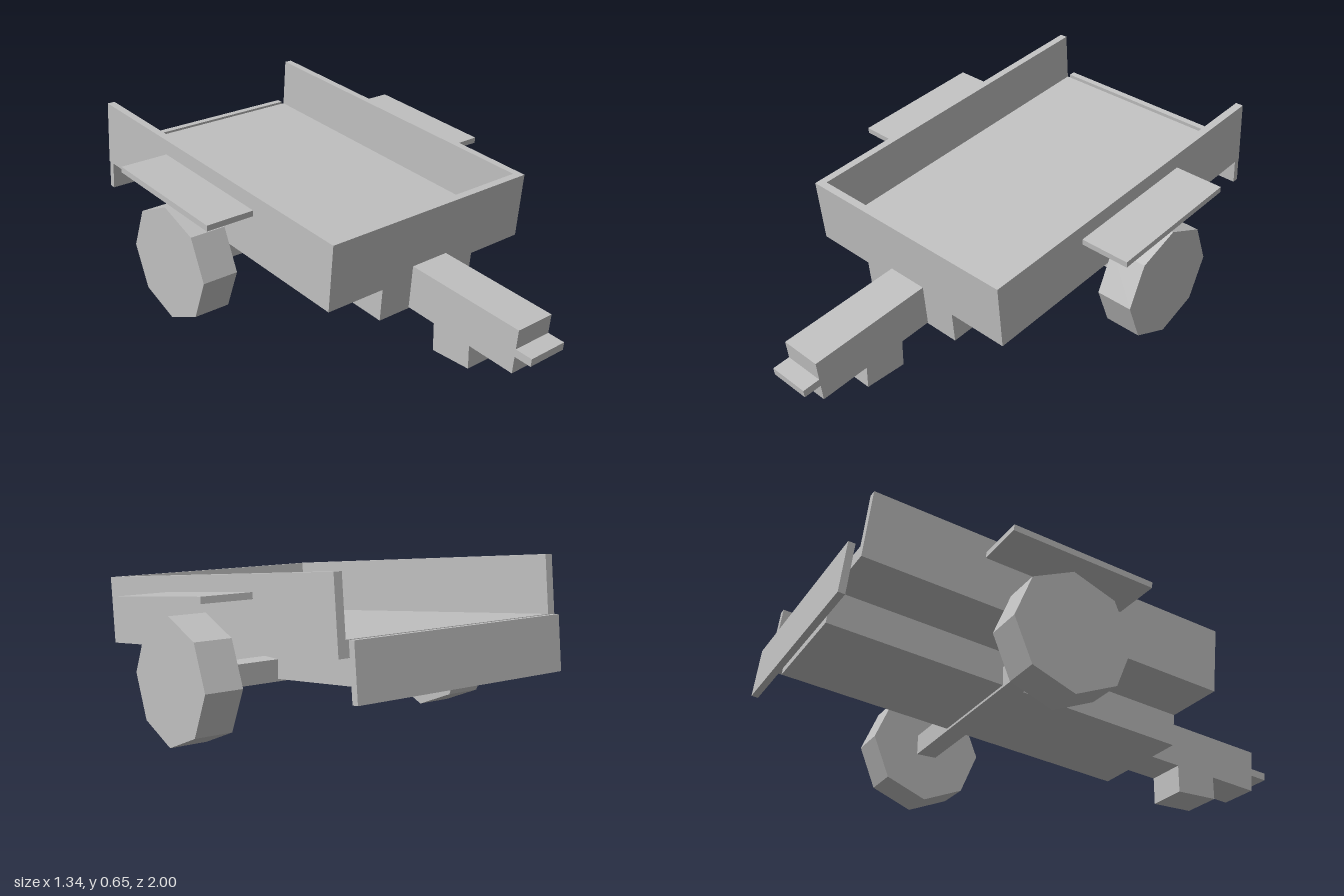
import * as THREE from 'three';

export function createModel() {
  const model = new THREE.Group();
  model.name = 'cartTrailer';
  const grey = new THREE.MeshStandardMaterial({ color: 0xc0c0c0 });
  grey.name = 'plain grey';

  // Box given by its min and max along each axis
  function box(parent, name, [x0, x1], [y0, y1], [z0, z1]) {
    const mesh = new THREE.Mesh(new THREE.BoxGeometry(x1 - x0, y1 - y0, z1 - z0), grey);
    mesh.position.set((x0 + x1) / 2, (y0 + y1) / 2, (z0 + z1) / 2);
    mesh.name = name;
    parent.add(mesh);
  }

  // Tilted body: origin at the lower front edge of the side boards
  const body = new THREE.Group();
  body.name = 'tiltedBody';
  body.position.set(0, 0.245, 0.445);
  body.rotation.x = 0.104;
  model.add(body);

  const back = -1.397;
  box(body, 'bedFloor', [-0.442, 0.442], [0, 0.055], [back, -0.005]);
  box(body, 'keel', [-0.225, 0.225], [-0.128, 0.01], [back - 0.002, 0]);
  box(body, 'frontBoard', [-0.442, 0.442], [0, 0.257], [-0.03, 0]);
  box(body, 'droppedTailgate', [-0.445, 0.445], [-0.138, 0.055], [-1.44, -1.415]);
  box(body, 'towBar', [-0.083, 0.083], [-0.124, 0.047], [-0.02, 0.495]);
  box(body, 'hitchPlate', [-0.083, 0.083], [-0.057, -0.027], [0.48, 0.564]);

  // Upright support foot and axle
  box(model, 'supportFoot', [-0.083, 0.083], [0, 0.13], [0.56, 0.73]);
  box(model, 'axle', [-0.51, 0.51], [0.185, 0.265], [-0.3, -0.22]);

  // Mirrored boards, mudguards and eight-sided wheels
  const wheelGeometry = new THREE.CylinderGeometry(0.225, 0.225, 0.146, 8).toNonIndexed();
  wheelGeometry.rotateZ(Math.PI / 2);
  wheelGeometry.computeVertexNormals();
  for (const [side, s] of [['left', 1], ['right', -1]]) {
    const span = (a, b) => (s > 0 ? [a, b] : [-b, -a]);
    box(body, side + 'SideBoard', span(0.442, 0.473), [0, 0.257], [back, 0]);
    box(body, side + 'Mudguard', span(0.473, 0.67), [0.175, 0.198], [-0.973, -0.426]);

    const wheel = new THREE.Mesh(wheelGeometry, grey);
    wheel.position.set(s * 0.572, 0.225, -0.26);
    wheel.name = side + 'Wheel';
    model.add(wheel);
  }
  return model;
}
